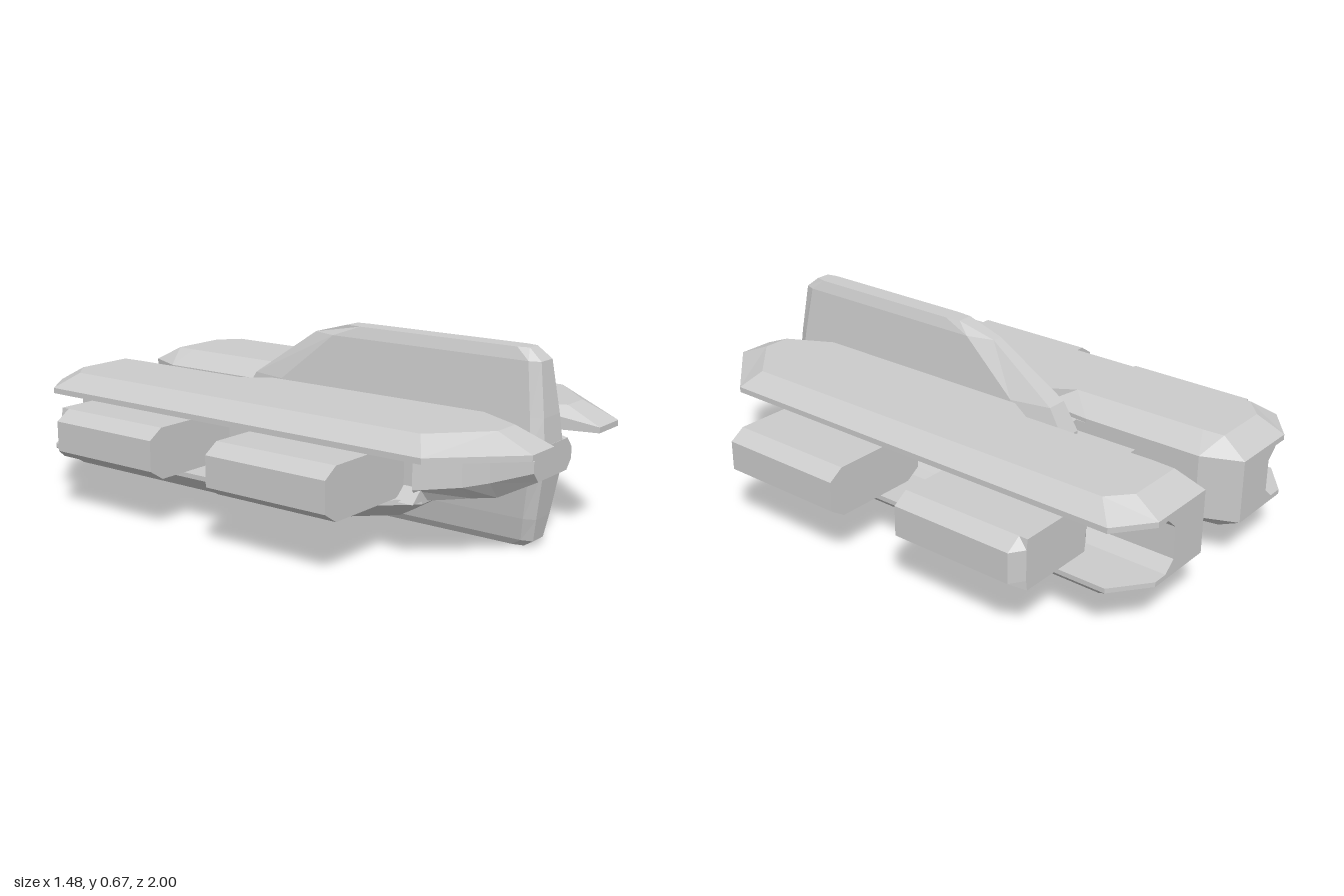
import * as THREE from 'three';

const CX = -0.025; // the hull sits slightly off the pod centre line
const material = new THREE.MeshStandardMaterial({ color: 0xcccccc, flatShading: true });

// Closed solid through rings of equal point count, with fan caps.
function loft(rings) {
  const n = rings[0].length;
  const pos = [];
  const tri = (a, b, c) => pos.push(...a, ...b, ...c);
  for (let r = 0; r < rings.length - 1; r++) {
    for (let i = 0; i < n; i++) {
      const j = (i + 1) % n;
      const [a, b, c, d] = [rings[r][i], rings[r][j], rings[r + 1][j], rings[r + 1][i]];
      tri(a, b, c);
      tri(a, c, d);
    }
  }
  const cap = (ring, flip) => {
    const mid = [0, 1, 2].map(k => ring.reduce((s, p) => s + p[k], 0) / n);
    ring.forEach((p, i) => {
      const q = ring[(i + 1) % n];
      flip ? tri(mid, q, p) : tri(mid, p, q);
    });
  };
  cap(rings[0], true);
  cap(rings[rings.length - 1], false);
  // Turn the faces outward whatever the ring direction or mirroring
  let volume = 0;
  const v = [new THREE.Vector3(), new THREE.Vector3(), new THREE.Vector3()];
  for (let i = 0; i < pos.length; i += 9) {
    v.forEach((p, k) => p.fromArray(pos, i + k * 3));
    volume += v[0].dot(v[1].clone().cross(v[2]));
  }
  if (volume < 0) {
    for (let i = 0; i < pos.length; i += 9) {
      for (let k = 0; k < 3; k++) [pos[i + 3 + k], pos[i + 6 + k]] = [pos[i + 6 + k], pos[i + 3 + k]];
    }
  }
  const g = new THREE.BufferGeometry();
  g.setAttribute('position', new THREE.Float32BufferAttribute(pos, 3));
  g.computeVertexNormals();
  return g;
}

// Horizontal ring from [x, z] points, upright ring from [x, y] points
const flat = (y, pts, s = 1) => pts.map(([x, z]) => [x * s, y, z]);
const upright = (z, pts) => pts.map(([x, y]) => [x, y, z]);

// Eight-sided section with cut corners
function octagon(x0, x1, y0, y1, cx, cy) {
  return [[x0 + cx, y0], [x1 - cx, y0], [x1, y0 + cy], [x1, y1 - cy],
    [x1 - cx, y1], [x0 + cx, y1], [x0, y1 - cy], [x0, y0 + cy]];
}

export function createModel() {
  const model = new THREE.Group();
  const hull = new THREE.Group();
  hull.name = 'hull';
  hull.position.x = CX;
  model.add(hull);
  const add = (name, geometry, parent = hull) => {
    const mesh = new THREE.Mesh(geometry, material);
    mesh.name = name;
    parent.add(mesh);
    return mesh;
  };

  // Plan outlines of one side's plates: rim and bevelled face
  const topRim = [[0.525, -0.9], [0.525, 0.75], [0.29, 1], [0.155, 1], [0.085, 0.7],
    [0.085, -0.2], [0.065, -0.4], [0.065, -0.86], [0.125, -1], [0.395, -1]];
  const topFace = [[0.455, -0.83], [0.455, 0.7], [0.28, 0.87], [0.175, 0.87], [0.085, 0.7],
    [0.085, -0.2], [0.15, -0.3], [0.15, -0.82], [0.155, -0.9], [0.375, -0.9]];
  const lowRim = [[0.525, -0.9], [0.525, 0.35], [0.29, 0.6], [0.155, 0.6], [0.085, 0.48],
    [0.065, -0.2], [0.065, -0.86], [0.125, -1], [0.395, -1]];
  const lowFace = [[0.455, -0.83], [0.455, 0.3], [0.27, 0.5], [0.175, 0.5], [0.155, 0.45],
    [0.15, -0.2], [0.15, -0.82], [0.165, -0.9], [0.375, -0.9]];
  const corePlan = outer => [[0.065, -0.86], [0.125, -1], [outer, -1], [outer, 0.6], [0.065, 0.6]];

  for (const s of [1, -1]) {
    const side = s > 0 ? 'left' : 'right';
    add(side + 'TopPlate', loft([flat(0.375, topRim, s), flat(0.395, topRim, s), flat(0.45, topFace, s)]));
    add(side + 'BottomPlate', loft([flat(0.105, lowFace, s), flat(0.165, lowRim, s), flat(0.182, lowRim, s)]));
    // Core wall forms the bottom of the channel between the plates
    add(side + 'Core', loft([[0.175, 0.345], [0.22, 0.295], [0.335, 0.295], [0.38, 0.345]]
      .map(([y, outer]) => flat(y, corePlan(outer), s))));
  }

  // Tapered nose ahead of the core
  add('nose', loft([
    upright(0.58, octagon(-0.32, 0.32, 0.17, 0.38, 0.04, 0.045)),
    upright(0.7, octagon(-0.21, 0.21, 0.17, 0.38, 0.06, 0.05)),
    upright(0.78, octagon(-0.17, 0.17, 0.18, 0.38, 0.05, 0.06)),
    upright(0.915, octagon(-0.125, 0.125, 0.25, 0.36, 0.03, 0.035)),
  ]));

  // Bridge joining both halves, stepped down toward the back
  const bridge = (name, y0, y1, z0, z1) => {
    const mesh = add(name, new THREE.BoxGeometry(0.17, y1 - y0, z1 - z0));
    mesh.position.set(0, (y0 + y1) / 2, (z0 + z1) / 2);
  };
  bridge('centreBridge', 0.17, 0.38, -0.36, 0.6);
  bridge('middleBridge', 0.18, 0.34, -0.61, -0.36);
  bridge('rearBridge', 0.18, 0.28, -0.86, -0.61);

  // Tall central fin: y, front z, taper start z, rear z, half width, rear half width
  const finLevels = [
    [0, 0.83, -0.06, -0.16, 0.032, 0.025],
    [0.025, 0.87, -0.08, -0.21, 0.046, 0.03],
    [0.105, 0.885, -0.12, -0.32, 0.062, 0.035],
    [0.28, 0.915, -0.2, -0.38, 0.085, 0.045],
    [0.35, 0.915, -0.2, -0.38, 0.085, 0.045],
    [0.45, 0.905, -0.17, -0.32, 0.073, 0.04],
    [0.63, 0.88, 0.05, -0.05, 0.05, 0.02],
    [0.67, 0.83, 0.16, 0.1, 0.036, 0.03],
  ];
  add('centralFin', loft(finLevels.map(([y, zf, zt, zr, w, wr]) => flat(y, [
    [w * 0.72, zf], [w, zf - 0.04], [w, zt], [wr, zr],
    [-wr, zr], [-w, zt], [-w, zf - 0.04], [-w * 0.72, zf]]))));

  // Four side pods, the back pair cut off at its rear corners
  for (const s of [1, -1]) {
    const side = s > 0 ? 'Left' : 'Right';
    const pod = (x1, z, inset = 0) => upright(z,
      octagon(0.308 + inset, x1 - inset, 0.185, 0.365, 0.055 - inset, 0.036)
        .map(([x, y]) => [x * s, y]));
    add('front' + side + 'Pod', loft([pod(0.738, 0.04), pod(0.738, 0.53)]), model);
    add('rear' + side + 'Pod', loft([pod(0.718, -0.725, 0.05), pod(0.718, -0.692), pod(0.718, -0.23)]), model);
  }
  return model;
}
